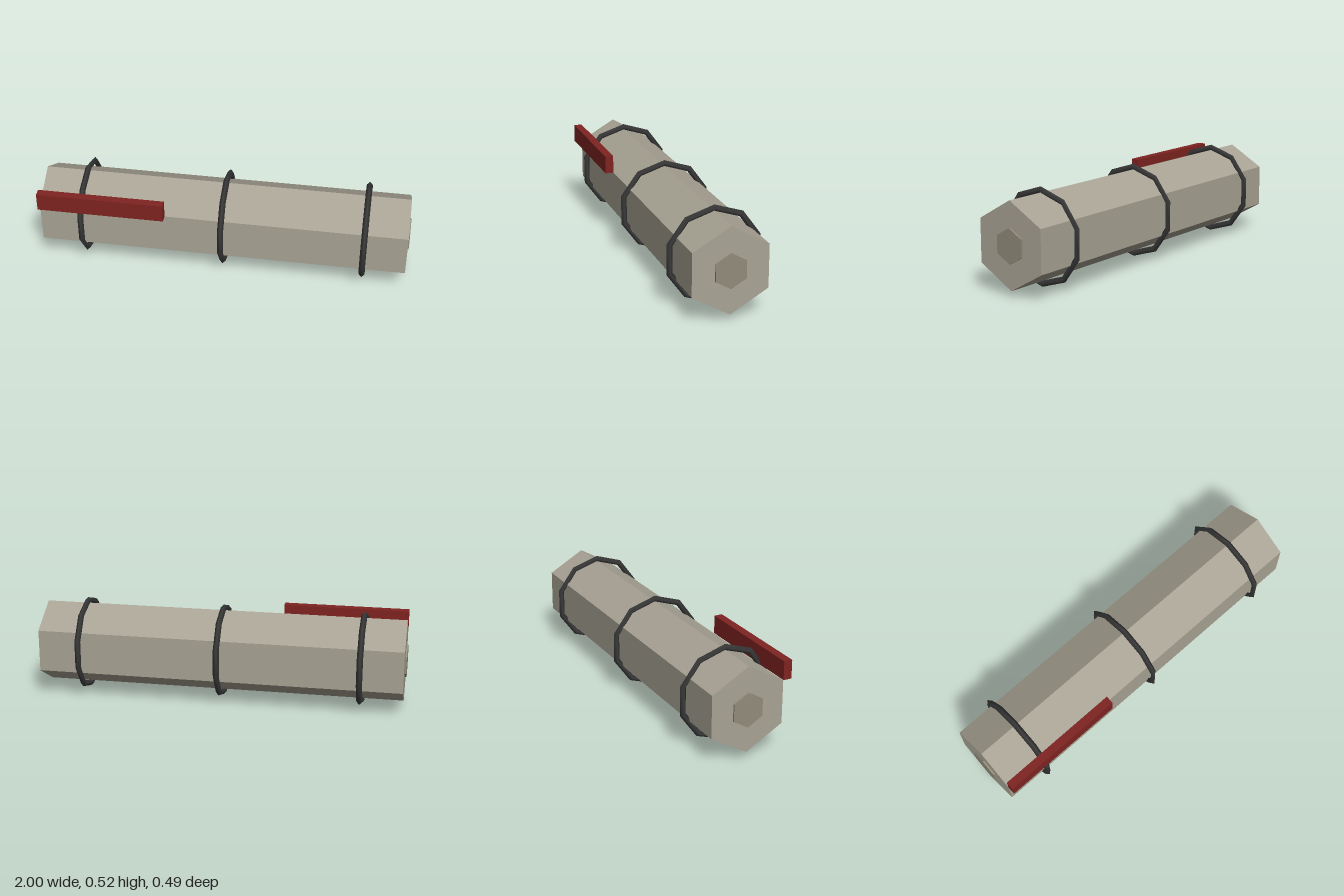
import * as THREE from 'three';

const AXIS_Y = 0.26;

export function createModel() {
  const group = new THREE.Group();
  const add = (name, geometry, color, x, y, z, flat = true) => {
    const material = new THREE.MeshStandardMaterial({ color, flatShading: flat });
    const mesh = new THREE.Mesh(geometry, material);
    mesh.name = name;
    mesh.position.set(x, y, z);
    group.add(mesh);
    return mesh;
  };

  // Hexagonal prism lying along x with a corner pointing up
  const hexBar = (radius, length) =>
    new THREE.CylinderGeometry(radius, radius, length, 6)
      .rotateY(Math.PI / 2)
      .rotateZ(Math.PI / 2);

  // Main body
  add('body', hexBar(0.2285, 1.982), 0xa8a394, 0, AXIS_Y, 0);

  // Small raised hexagon on each end
  for (const side of [-1, 1]) {
    add(side > 0 ? 'leftEndCap' : 'rightEndCap', hexBar(0.092, 0.02), 0x918b7a, side * 0.99, AXIS_Y, 0);
  }

  // Ten-sided bands with a diamond cross-section
  [-0.762, 0, 0.762].forEach((x, i) => {
    const ring = new THREE.TorusGeometry(0.243, 0.0165, 4, 10)
      .rotateZ(Math.PI / 2)
      .rotateY(Math.PI / 2);
    add(`band${i + 1}`, ring, 0x3a3a3a, x, AXIS_Y, 0, false);
  });

  // Red bar along the upper front edge
  add('redBar', new THREE.BoxGeometry(0.686, 0.099, 0.045), 0x7f2421, -0.648, 0.425, 0.222);

  return group;
}
